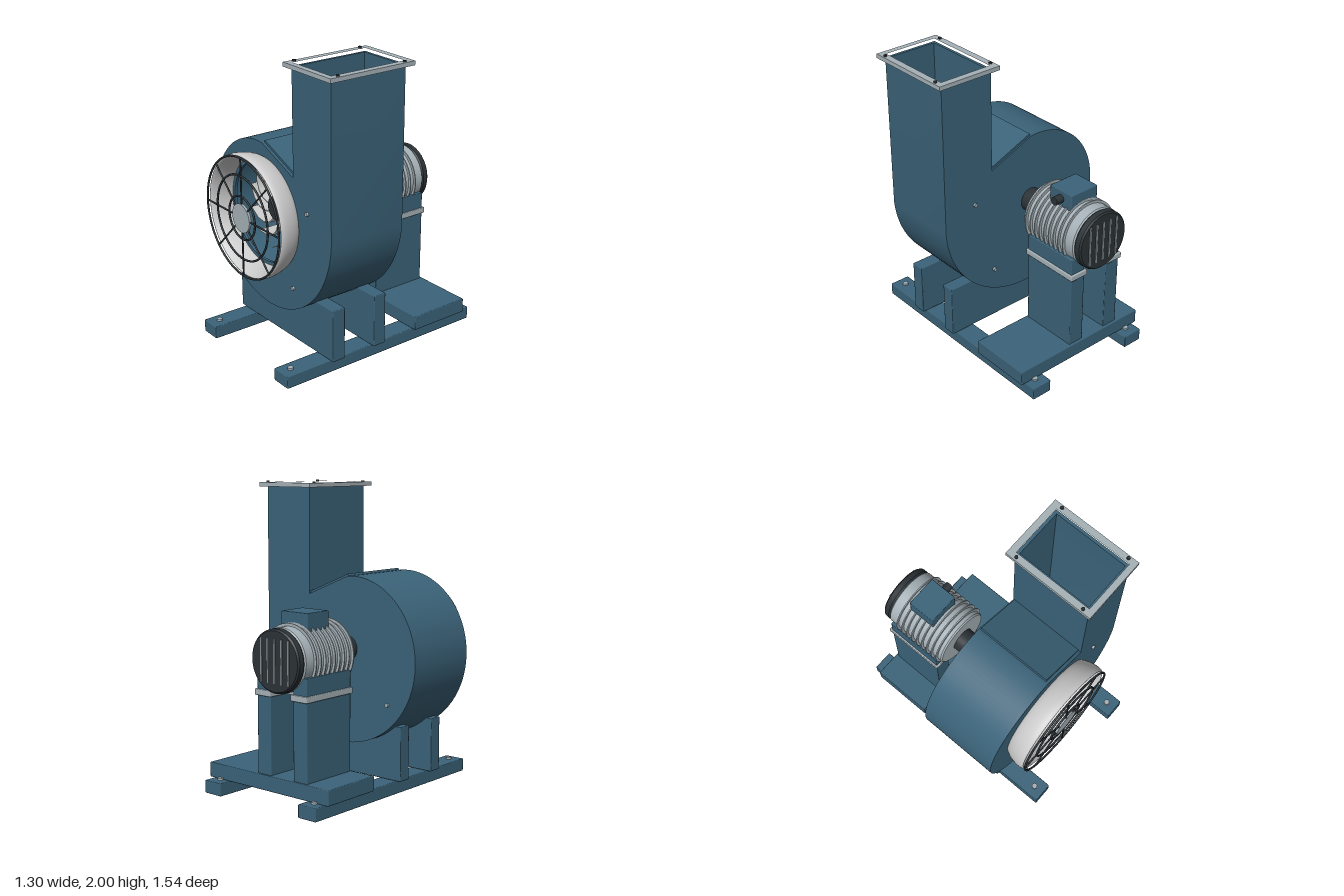
import * as THREE from 'three';
import { toCreasedNormals } from 'three/addons/utils/BufferGeometryUtils.js';
import { RoundedBoxGeometry } from 'three/addons/geometries/RoundedBoxGeometry.js';

const mat = (color, side = THREE.FrontSide) => new THREE.MeshStandardMaterial({ color, side });
const BLUE = mat(0x3b6379), STEEL = mat(0xa6b2b8), DARK = mat(0x2b3236);
const PALE = mat(0xcccccc, THREE.DoubleSide);
const CX = -0.105, CY = 0.93; // fan axis

export function createModel() {
  const root = new THREE.Group();

  const add = (name, geo, material, x = 0, y = 0, z = 0, parent = root) => {
    const m = new THREE.Mesh(geo, material);
    m.name = name;
    m.position.set(x, y, z);
    parent.add(m);
    return m;
  };
  // Box given by its limits, with slightly softened edges
  const box = (name, x0, x1, y0, y1, z0, z1, material = BLUE) =>
    add(name, new RoundedBoxGeometry(x1 - x0, y1 - y0, z1 - z0, 1, 0.006), material,
      (x0 + x1) / 2, (y0 + y1) / 2, (z0 + z1) / 2);
  // Cylinder lying along z
  const cylZ = (name, r, z0, z1, material, x = CX, y = CY, seg = 48) =>
    add(name, new THREE.CylinderGeometry(r, r, z1 - z0, seg).rotateX(Math.PI / 2), material, x, y, (z0 + z1) / 2);
  const extrude = (shape, depth) =>
    toCreasedNormals(new THREE.ExtrudeGeometry(shape, { depth, bevelEnabled: false, curveSegments: 48 }), 0.5);

  // Scroll outline from duct top, over the tongue, round the spiral, back to duct top
  const outline = (inset) => {
    const pts = [[0.225 + inset, 1.97], [0.225 + inset, 1.262 - inset]];
    const n = 72;
    for (let i = 0; i <= n; i++) {
      const t = i / n, a = Math.PI * (0.5 + 1.5 * t), r = 0.47 + 0.24 * t - inset;
      pts.push([CX + r * Math.cos(a), CY + r * Math.sin(a)]);
    }
    pts.push([0.605 - inset, 1.97]);
    return pts.map(([x, y]) => new THREE.Vector2(x, y));
  };

  // Housing: back plate, front plate with inlet hole, open-topped wall
  add('housingBackPlate', extrude(new THREE.Shape(outline(0)), 0.02), BLUE, 0, 0, -0.05);
  const front = new THREE.Shape(outline(0));
  front.holes.push(new THREE.Path().absarc(CX, CY, 0.335, 0, Math.PI * 2, true));
  add('housingFrontPlate', extrude(front, 0.02), BLUE, 0, 0, 0.49);
  const wall = new THREE.Shape([...outline(0), ...outline(0.02).reverse()]);
  add('housingWall', extrude(wall, 0.52), BLUE, 0, 0, -0.03);
  const tongue = add('tonguePlate', new THREE.BoxGeometry(0.355, 0.016, 0.53), BLUE, 0.06, 1.338, 0.225);
  tongue.rotation.z = Math.atan2(-0.138, 0.33);
  for (const [x, y] of [[0.37, 1.07], [-0.44, 0.595], [0.215, 0.51]])
    for (const z of [-0.0575, 0.5175]) cylZ('housingBolt', 0.013, z - 0.0075, z + 0.0075, STEEL, x, y, 12);

  // Outlet flange with corner bolts
  const rect = (P, x0, x1, z0, z1) => new P([[x0, z0], [x1, z0], [x1, z1], [x0, z1]]
    .map(([x, z]) => new THREE.Vector2(x, -z)));
  const flange = rect(THREE.Shape, 0.185, 0.645, -0.09, 0.545);
  flange.holes.push(rect(THREE.Path, 0.23, 0.6, -0.045, 0.505));
  add('outletFlange', extrude(flange, 0.028).rotateX(-Math.PI / 2), STEEL, 0, 1.963, 0);
  for (const x of [0.206, 0.626]) for (const z of [-0.024, 0.478])
    add('flangeBolt', new THREE.CylinderGeometry(0.011, 0.011, 0.015, 12), DARK, x, 1.9925, z);

  // Flared inlet ring
  const bell = new THREE.SplineCurve([[0.352, 0.49], [0.385, 0.512], [0.405, 0.56], [0.415, 0.62], [0.409, 0.655],
    [0.395, 0.652], [0.372, 0.59], [0.357, 0.5]].map(([r, z]) => new THREE.Vector2(r, z)));
  add('inletRing', new THREE.LatheGeometry(bell.getPoints(28), 72).rotateX(Math.PI / 2), PALE, CX, CY, 0);

  // Inlet guard: rings, spokes and hub disc
  const guard = new THREE.Group();
  guard.name = 'inletGuard';
  guard.position.set(CX, CY, 0.676);
  root.add(guard);
  for (const r of [0.145, 0.285, 0.405])
    add('guardRing', new THREE.TorusGeometry(r, 0.007, 8, 64), DARK, 0, 0, 0, guard);
  for (let i = 0; i < 8; i++) {
    const a = i * Math.PI / 4;
    const s = add('guardSpoke', new THREE.CylinderGeometry(0.006, 0.006, 0.32, 8), DARK,
      0.245 * Math.cos(a), 0.245 * Math.sin(a), 0, guard);
    s.rotation.z = a - Math.PI / 2;
  }
  add('guardDisc', new THREE.CylinderGeometry(0.097, 0.097, 0.016, 40).rotateX(Math.PI / 2), STEEL, 0, 0, 0.002, guard);

  // Impeller: back disc, hub and swept blades
  cylZ('impellerDisc', 0.33, 0.06, 0.075, PALE);
  cylZ('impellerHub', 0.08, -0.03, 0.42, DARK);
  const bladePt = (t, side) => {
    const r = 0.075 + 0.24 * t, a = -0.75 * t * t + side * 0.004 / r;
    return new THREE.Vector2(r * Math.cos(a), r * Math.sin(a));
  };
  const edge = [0, 0.2, 0.4, 0.6, 0.8, 1];
  const blade = extrude(new THREE.Shape([...edge.map(t => bladePt(t, -1)),
    ...edge.slice().reverse().map(t => bladePt(t, 1))]), 0.33);
  for (let i = 0; i < 12; i++)
    add('impellerBlade', blade, PALE, CX, CY, 0.07).rotation.z = i * Math.PI / 6;

  // Base rails with anchor bolts, housing saddles
  for (const x of [-0.395, 0.425]) {
    box('baseRail', x - 0.072, x + 0.072, 0, 0.086, -0.77, 0.77);
    for (const z of [-0.7, 0.695])
      add('anchorBolt', new THREE.CylinderGeometry(0.019, 0.019, 0.014, 16), STEEL, x, 0.092, z);
  }
  box('housingSaddle', -0.5, 0.53, 0.086, 0.447, 0.342, 0.437);
  box('housingSaddle', -0.5, 0.53, 0.086, 0.447, 0.01, 0.102);

  // Motor pedestal
  box('motorBase', -0.5, 0.53, 0.086, 0.186, -0.692, -0.255);
  for (const s of [-1, 1]) {
    const x = CX + s * 0.152;
    box('pedestalColumn', x - 0.057, x + 0.057, 0.18, 0.692, -0.675, -0.265);
    box('pedestalCap', x - 0.068, x + 0.068, 0.69, 0.73, -0.69, -0.255, STEEL);
    box('motorFoot', x - 0.057, x + 0.057, 0.725, 0.84, -0.675, -0.265);
  }

  // Motor: coupling, finned body, rear cover with grille bars
  cylZ('shaftCoupling', 0.082, -0.225, -0.04, DARK);
  const profile = [[0, -0.68], [0.195, -0.68], [0.204, -0.672], [0.204, -0.222], [0.196, -0.212], [0, -0.212]]
    .map(([r, z]) => new THREE.Vector2(r, z));
  add('motorBody', toCreasedNormals(new THREE.LatheGeometry(profile, 56).rotateX(Math.PI / 2), 0.5), STEEL, CX, CY, 0);
  for (let i = 0; i < 9; i++) {
    const z = -0.25 - i * 0.0435;
    cylZ('coolingFin', 0.222, z - 0.004, z + 0.004, STEEL);
  }
  const cover = [[0, -0.735], [0.19, -0.735], [0.2, -0.725], [0.202, -0.69], [0.195, -0.68], [0, -0.68]]
    .map(([r, z]) => new THREE.Vector2(r, z));
  add('fanCover', toCreasedNormals(new THREE.LatheGeometry(cover, 56).rotateX(Math.PI / 2), 0.5), DARK, CX, CY, 0);
  for (let i = -2; i <= 2; i++)
    add('grilleBar', new THREE.BoxGeometry(0.012, 0.28, 0.01), STEEL, CX + i * 0.057, CY, -0.737);

  // Terminal box and cable gland
  box('terminalBox', -0.215, 0.006, 1.1, 1.217, -0.558, -0.36);
  add('cableGland', new THREE.CylinderGeometry(0.028, 0.028, 0.06, 20).rotateZ(Math.PI / 2), DARK, 0.033, 1.16, -0.459);

  return root;
}
